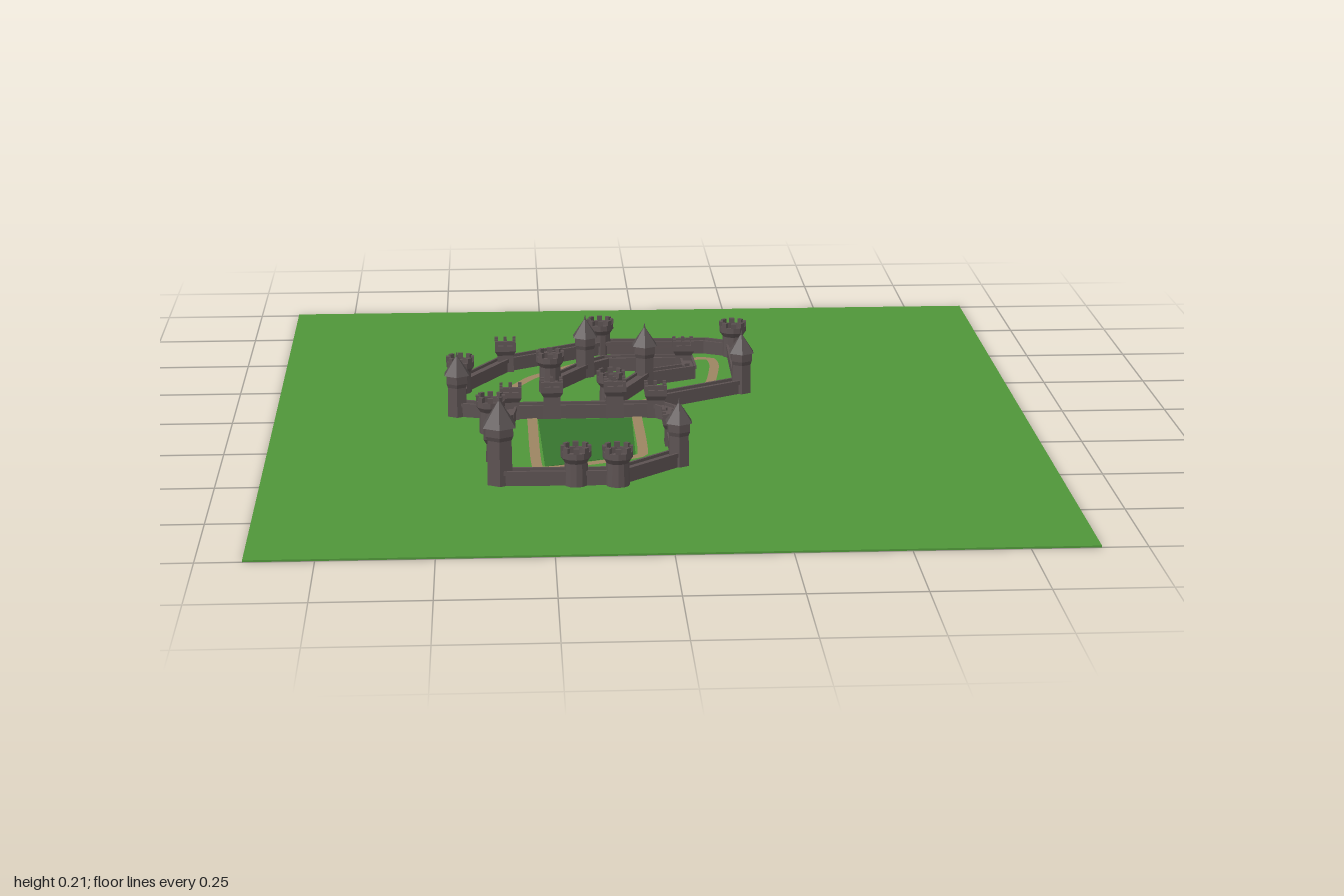
import * as THREE from 'three';

const stone = new THREE.MeshStandardMaterial({ color: 0x5c5252, flatShading: true });
const roofMat = new THREE.MeshStandardMaterial({ color: 0x575050, flatShading: true });
const grass = new THREE.MeshStandardMaterial({ color: 0x4f9639 });
const darkGrass = new THREE.MeshStandardMaterial({ color: 0x37752e });
const dirt = new THREE.MeshStandardMaterial({ color: 0x9c8562 });
const TOP = 0.004; // ground surface height

function add(parent, name, geometry, material, x = 0, y = 0, z = 0, ry = 0) {
  const mesh = new THREE.Mesh(geometry, material);
  mesh.name = name;
  mesh.position.set(x, y, z);
  mesh.rotation.y = ry;
  parent.add(mesh);
  return mesh;
}

// Upright prism or frustum standing on y; four sides are turned square to the axes
function prism(parent, name, sides, rTop, rBottom, y, h, mat = stone) {
  const k = sides === 4 ? Math.SQRT2 : 1;
  const g = new THREE.CylinderGeometry(rTop * k, rBottom * k, h, sides);
  return add(parent, name, g, mat, 0, y + h / 2, 0, sides === 4 ? Math.PI / 4 : 0);
}

// Open-topped tower with flared head, parapet ring and merlons
function battlementTower(sides, r, h) {
  const g = new THREE.Group();
  g.name = sides === 4 ? 'squareTower' : 'roundTower';
  const head = r * 1.32, merlonH = 0.012, floor = h - 0.026;
  prism(g, 'shaft', sides, r, r * 1.06, 0, floor - 0.012);
  prism(g, 'corbel', sides, head, r, floor - 0.012, 0.012);
  const k = sides === 4 ? Math.SQRT2 : 1;
  const ring = [[head - 0.008, 0], [head, 0], [head, 0.014], [head - 0.008, 0.014], [head - 0.008, 0]]
    .map(([x, y]) => new THREE.Vector2(x * k, y));
  add(g, 'parapet', new THREE.LatheGeometry(ring, sides), stone, 0, floor, 0, sides === 4 ? Math.PI / 4 : 0);
  const d = head - 0.004;
  for (let i = 0; i < 8; i++) {
    const a = (i * Math.PI) / 4;
    const s = sides === 4 ? 1 / Math.max(Math.abs(Math.sin(a)), Math.abs(Math.cos(a))) : 1;
    add(g, 'merlon', new THREE.BoxGeometry(sides === 4 ? 0.008 : 0.013, merlonH, 0.008), stone,
      Math.sin(a) * d * s, h - merlonH / 2, Math.cos(a) * d * s, sides === 4 && i % 2 ? 0 : a);
  }
  return g;
}

// Hexagonal tower with an overhanging pointed roof
function roofedTower(r, h) {
  const g = new THREE.Group();
  g.name = 'roofedTower';
  const eaves = h * 0.66, head = r * 1.15;
  prism(g, 'shaft', 6, r, r * 1.06, 0, eaves - 0.025);
  prism(g, 'corbel', 6, head, r, eaves - 0.03, 0.01);
  prism(g, 'headRoom', 6, head, head, eaves - 0.02, 0.02);
  prism(g, 'roof', 6, 0.002, head * 1.18, eaves, h * 0.28, roofMat);
  prism(g, 'finial', 6, 0.001, 0.003, eaves + h * 0.27, h * 0.07, roofMat);
  return g;
}

// Straight wall with walkway and a low parapet on both sides
function wallSegment(parent, [x1, z1], [x2, z2]) {
  const g = new THREE.Group();
  g.name = 'wall';
  const len = Math.hypot(x2 - x1, z2 - z1);
  add(g, 'wallBody', new THREE.BoxGeometry(len + 0.015, 0.031, 0.03), stone, 0, 0.0155, 0);
  for (const s of [-1, 1])
    add(g, 'wallParapet', new THREE.BoxGeometry(len + 0.015, 0.01, 0.006), stone, 0, 0.033, s * 0.0145);
  g.position.set((x1 + x2) / 2, 0, (z1 + z2) / 2);
  g.rotation.y = -Math.atan2(z2 - z1, x2 - x1);
  parent.add(g);
}

// Flat shape lying on the ground, points given as x, z
function flat(parent, name, points, mat, y, depth) {
  const shape = new THREE.Shape(points.map(([x, z]) => new THREE.Vector2(x, -z)));
  const mesh = add(parent, name, new THREE.ExtrudeGeometry(shape, { depth, bevelEnabled: false }), mat, 0, y, 0);
  mesh.rotation.x = -Math.PI / 2;
}

// Closed ribbon along a rounded loop
function ribbon(parent, name, points, width, mat, y) {
  const curve = new THREE.CatmullRomCurve3(points.map(([x, z]) => new THREE.Vector3(x, y, z)), true, 'catmullrom', 0.12);
  const n = 160, pos = [], idx = [];
  for (let i = 0; i <= n; i++) {
    const p = curve.getPointAt((i % n) / n), t = curve.getTangentAt((i % n) / n);
    for (const s of [-1, 1]) pos.push(p.x - t.z * s * width / 2, y, p.z + t.x * s * width / 2);
    if (i < n) idx.push(2 * i, 2 * i + 1, 2 * i + 2, 2 * i + 1, 2 * i + 3, 2 * i + 2);
  }
  const g = new THREE.BufferGeometry();
  g.setAttribute('position', new THREE.Float32BufferAttribute(pos, 3));
  g.setIndex(idx);
  g.computeVertexNormals();
  add(parent, name, g, mat);
}

export function createModel() {
  const model = new THREE.Group();
  model.name = 'castle';

  // Ground, courtyard lawn and footpath
  add(model, 'ground', new THREE.BoxGeometry(1.8, TOP, 2), grass, 0, TOP / 2, 0);
  flat(model, 'courtyardLawn', [[-0.27, 0.02], [-0.045, 0.02], [-0.05, 0.315], [-0.26, 0.395]], darkGrass, TOP, 0.001);
  dirt.side = THREE.DoubleSide;
  ribbon(model, 'footpath', [[-0.285, 0], [-0.36, -0.18], [-0.28, -0.34], [-0.13, -0.48], [0.175, -0.495],
    [0.185, -0.42], [0.16, -0.26], [-0.03, -0.09], [-0.035, 0.32], [-0.275, 0.41]], 0.024, dirt, TOP + 0.002);

  // Curtain walls: outer ward, cross wall, inner ward, lower ward
  const walls = [
    [[0.013, 0], [0.02, -0.07], [0.235, -0.195], [0.24, -0.53], [0.17, -0.565], [-0.1, -0.565], [-0.345, -0.42],
      [-0.457, -0.23], [-0.46, -0.03], [-0.365, 0], [0.013, 0]],
    [[-0.236, 0], [-0.236, -0.22], [-0.145, -0.36], [-0.09, -0.41], [0.112, -0.41], [0.115, -0.325], [0, -0.272],
      [-0.092, -0.08], [-0.085, 0]],
    [[-0.335, 0], [-0.345, 0.08], [-0.375, 0.115], [-0.37, 0.33], [-0.363, 0.515], [-0.193, 0.52], [-0.1, 0.52],
      [0.045, 0.39], [0.043, 0.23], [0.043, 0.035], [0.013, 0]],
  ];
  for (const line of walls)
    for (let i = 1; i < line.length; i++) wallSegment(model, line[i - 1], line[i]);

  const place = (tower, x, z) => {
    tower.position.set(x, 0, z);
    model.add(tower);
  };

  // Round towers: x, z, height
  for (const [x, z, h] of [[-0.1, -0.57, 0.095], [0.24, -0.53, 0.095], [-0.457, -0.23, 0.095], [-0.236, -0.22, 0.108],
    [-0.092, -0.08, 0.095], [-0.383, 0.115, 0.095], [-0.193, 0.523, 0.095], [-0.1, 0.53, 0.095]])
    place(battlementTower(12, 0.026, h), x, z);

  // Square towers
  for (const [x, z, h] of [[-0.345, -0.42, 0.085], [0.105, -0.41, 0.082], [-0.335, 0, 0.085], [-0.236, 0, 0.097],
    [-0.085, 0, 0.097], [0.013, 0, 0.085], [-0.373, 0.33, 0.085], [0.043, 0.23, 0.082]])
    place(battlementTower(4, 0.02, h), x, z);

  // Roofed towers, the tallest at the front corner
  for (const [x, z, r, h] of [[0.235, -0.195, 0.025, 0.16], [-0.463, -0.03, 0.025, 0.16], [-0.145, -0.36, 0.025, 0.16],
    [0, -0.272, 0.025, 0.16], [0.045, 0.39, 0.025, 0.16], [-0.363, 0.505, 0.031, 0.208]])
    place(roofedTower(r, h), x, z);

  return model;
}
